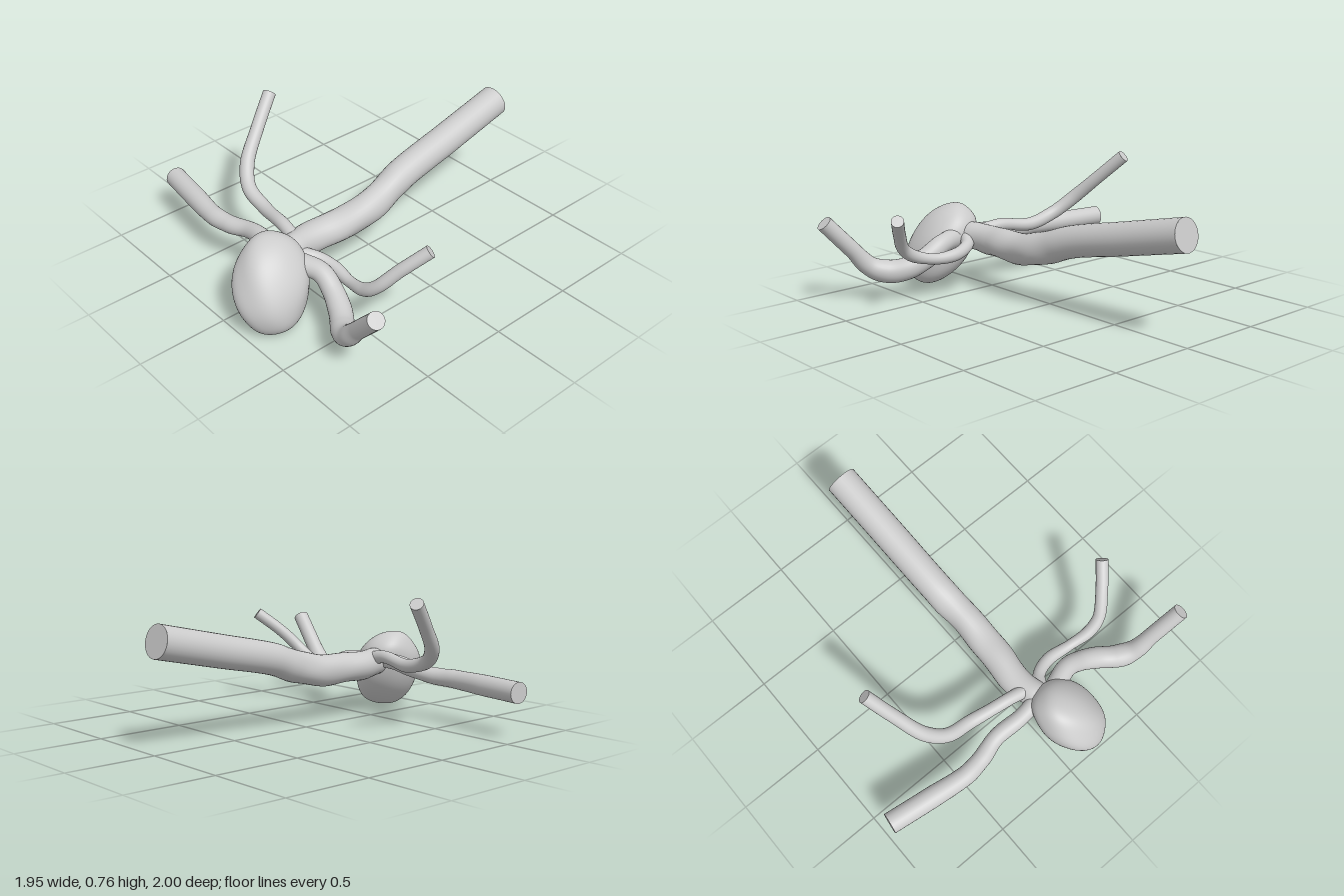
import * as THREE from 'three';
import { mergeVertices } from 'three/addons/utils/BufferGeometryUtils.js';

const material = new THREE.MeshStandardMaterial({ color: 0xcccccc });

// Gentle organic unevenness
const ripple = (p) =>
  Math.sin(p.x * 23 + p.y * 17) * Math.sin(p.z * 21 + 1) + 0.6 * Math.sin(p.y * 31 + p.z * 13 + p.x * 9);

// Tube of varying radius. Points are [x, y, z, radius] from root to tip;
// the last `smoothFrom` share of the length is a clean, straight extension.
function vessel(name, points, smoothFrom) {
  const group = new THREE.Group();
  group.name = name;
  const curve = new THREE.CatmullRomCurve3(points.map((p) => new THREE.Vector3(p[0], p[1], p[2])));
  const rings = 90, sides = 28;
  const geo = new THREE.TubeGeometry(curve, rings, 1, sides, false);
  const pos = geo.attributes.position;
  const v = new THREE.Vector3();
  for (let i = 0; i <= rings; i++) {
    const u = i / rings;
    const centre = curve.getPointAt(u);
    const t = curve.getUtoTmapping(u) * (points.length - 1);
    const k = Math.min(Math.floor(t), points.length - 2);
    const radius = THREE.MathUtils.lerp(points[k][3], points[k + 1][3], THREE.MathUtils.smoothstep(t - k, 0, 1));
    const rough = 0.05 * (1 - THREE.MathUtils.smoothstep(u, smoothFrom - 0.1, smoothFrom));
    for (let j = 0; j <= sides; j++) {
      const n = i * (sides + 1) + j;
      v.fromBufferAttribute(pos, n).sub(centre);
      const wobble = 1 + rough * ripple(v.clone().multiplyScalar(radius).add(centre));
      v.multiplyScalar(radius * wobble).add(centre);
      pos.setXYZ(n, v.x, v.y, v.z);
    }
  }
  geo.deleteAttribute('uv');
  geo.deleteAttribute('normal');
  const wallGeo = mergeVertices(geo, 1e-5);
  wallGeo.computeVertexNormals();
  const wall = new THREE.Mesh(wallGeo, material);
  wall.name = name + 'Wall';

  // Flat cut at the tip
  const cap = new THREE.Mesh(new THREE.CircleGeometry(points[points.length - 1][3], sides), material);
  cap.name = name + 'End';
  cap.position.copy(curve.getPointAt(1));
  cap.quaternion.setFromUnitVectors(new THREE.Vector3(0, 0, 1), curve.getTangentAt(1));
  group.add(wall, cap);
  return group;
}

// Leaning, lumpy sac with a slightly flattened underside
function sac() {
  let geo = new THREE.SphereGeometry(1, 56, 40);
  geo.deleteAttribute('uv');
  geo.deleteAttribute('normal');
  geo = mergeVertices(geo, 1e-4);
  const pos = geo.attributes.position;
  const p = new THREE.Vector3();
  for (let i = 0; i < pos.count; i++) {
    p.fromBufferAttribute(pos, i);
    const lump = 1 + 0.022 * ripple(p.clone().multiplyScalar(0.19));
    const y = p.y * 0.235 * lump;
    const x = p.x * 0.172 * lump - 0.33 * y;
    const z = p.z * 0.208 * lump - 0.2 * y;
    pos.setXYZ(i, 0.15 + x, Math.max(0, 0.228 + y), 0.787 + z);
  }
  geo.computeVertexNormals();
  const mesh = new THREE.Mesh(geo, material);
  mesh.name = 'sac';
  return mesh;
}

export function createModel() {
  const model = new THREE.Group();
  model.name = 'branchingVessel';
  model.add(sac());

  model.add(vessel('trunk', [
    [0.1, 0.28, 0.68, 0.07], [0.06, 0.295, 0.56, 0.078], [0.045, 0.29, 0.42, 0.085],
    [0.06, 0.29, 0.2, 0.088], [0.057, 0.325, 0, 0.086], [0.035, 0.395, -0.2, 0.088],
    [0.018, 0.48, -0.58, 0.089], [0, 0.568, -0.975, 0.089],
  ], 0.55));

  model.add(vessel('rightRearBranch', [
    [0.06, 0.32, 0.55, 0.04], [-0.08, 0.345, 0.53, 0.036], [-0.3, 0.325, 0.49, 0.036],
    [-0.45, 0.365, 0.475, 0.04], [-0.55, 0.45, 0.41, 0.04], [-0.63, 0.59, 0.27, 0.037],
    [-0.7, 0.73, 0.125, 0.037],
  ], 0.65));

  model.add(vessel('rightFrontBranch', [
    [0.08, 0.31, 0.62, 0.05], [-0.08, 0.3, 0.64, 0.046], [-0.25, 0.27, 0.635, 0.046],
    [-0.38, 0.252, 0.67, 0.048], [-0.5, 0.25, 0.682, 0.053], [-0.73, 0.25, 0.655, 0.058],
    [-0.97, 0.25, 0.622, 0.058],
  ], 0.6));

  model.add(vessel('leftRearBranch', [
    [0.1, 0.29, 0.6, 0.045], [0.17, 0.265, 0.515, 0.036], [0.27, 0.24, 0.48, 0.035],
    [0.42, 0.235, 0.493, 0.032], [0.54, 0.268, 0.51, 0.033], [0.62, 0.325, 0.495, 0.035],
    [0.7, 0.43, 0.415, 0.034], [0.79, 0.54, 0.3, 0.034],
  ], 0.7));

  model.add(vessel('leftFrontBranch', [
    [0.14, 0.29, 0.65, 0.06], [0.3, 0.275, 0.588, 0.055], [0.4, 0.215, 0.592, 0.058],
    [0.5, 0.17, 0.63, 0.062], [0.6, 0.155, 0.695, 0.065], [0.69, 0.2, 0.74, 0.055],
    [0.78, 0.3, 0.755, 0.046], [0.935, 0.47, 0.782, 0.045],
  ], 0.7));

  return model;
}
